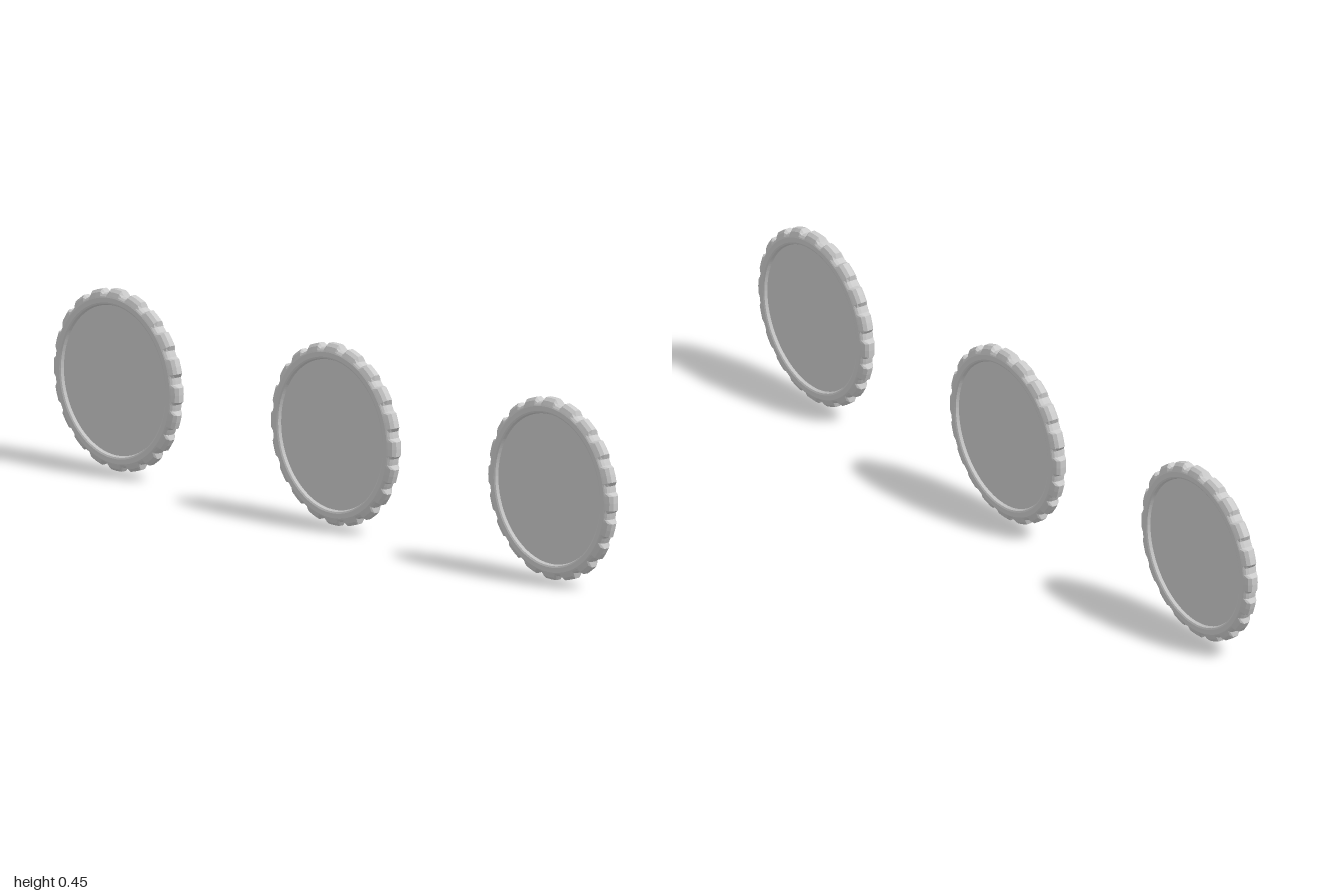
import * as THREE from 'three';

const LUGS = 20, RADIUS = 0.2235, SPACING = 0.777;
const STEP = (Math.PI * 2) / LUGS;

// Angles across one lug (fraction of a step) and whether the rim is raised there
const LUG_STEPS = [[-0.5, 0], [-0.38, 0], [-0.26, 1], [0, 1], [0.26, 1], [0.38, 0]];

// Half cross-section from rim to face: [radius in gap, z in gap, radius on lug, z on lug]
const RIM = [
  [0.213, 0.007, RADIUS, 0.007],
  [0.2105, 0.0145, 0.2165, 0.0145],
  [0.206, 0.0185, 0.207, 0.0185],
  [0.203, 0.02, 0.203, 0.02],
  [0.191, 0.02, 0.191, 0.02],
  [0.187, 0.018, 0.187, 0.018],
  [0.184, 0.011, 0.184, 0.011],
];

// Scalloped ring, swept round the axis through the whole cross-section
function ringGeometry() {
  const section = [...RIM.map((p) => [...p, -1]).reverse(), ...RIM.map((p) => [...p, 1])];
  const columns = [];
  for (let i = 0; i < LUGS; i++) {
    for (const [f, raised] of LUG_STEPS) {
      const a = (i + f) * STEP;
      columns.push(section.map(([r0, z0, r1, z1, side]) => {
        const r = raised ? r1 : r0, z = (raised ? z1 : z0) * side;
        return [r * Math.cos(a), r * Math.sin(a), z];
      }));
    }
  }
  const positions = [];
  columns.forEach((a, i) => {
    const b = columns[(i + 1) % columns.length];
    for (let j = 0; j < section.length - 1; j++) {
      positions.push(...a[j], ...b[j], ...b[j + 1], ...a[j], ...b[j + 1], ...a[j + 1]);
    }
  });
  const geometry = new THREE.BufferGeometry();
  geometry.setAttribute('position', new THREE.Float32BufferAttribute(positions, 3));
  geometry.computeVertexNormals();
  return geometry;
}

export function createModel() {
  const model = new THREE.Group();
  const material = new THREE.MeshStandardMaterial({ color: 0xcccccc, flatShading: true });
  const ring = ringGeometry();
  // Recessed centre, flat on both sides
  const centre = new THREE.CylinderGeometry(0.185, 0.185, 0.022, 60).rotateX(Math.PI / 2);

  ['rightDisc', 'middleDisc', 'leftDisc'].forEach((name, i) => {
    const disc = new THREE.Group();
    disc.name = name;
    const rim = new THREE.Mesh(ring, material);
    rim.name = 'scallopedRim';
    const plate = new THREE.Mesh(centre, material);
    plate.name = 'recessedFace';
    disc.add(rim, plate);
    disc.position.set((i - 1) * SPACING, RADIUS, 0);
    model.add(disc);
  });
  return model;
}
